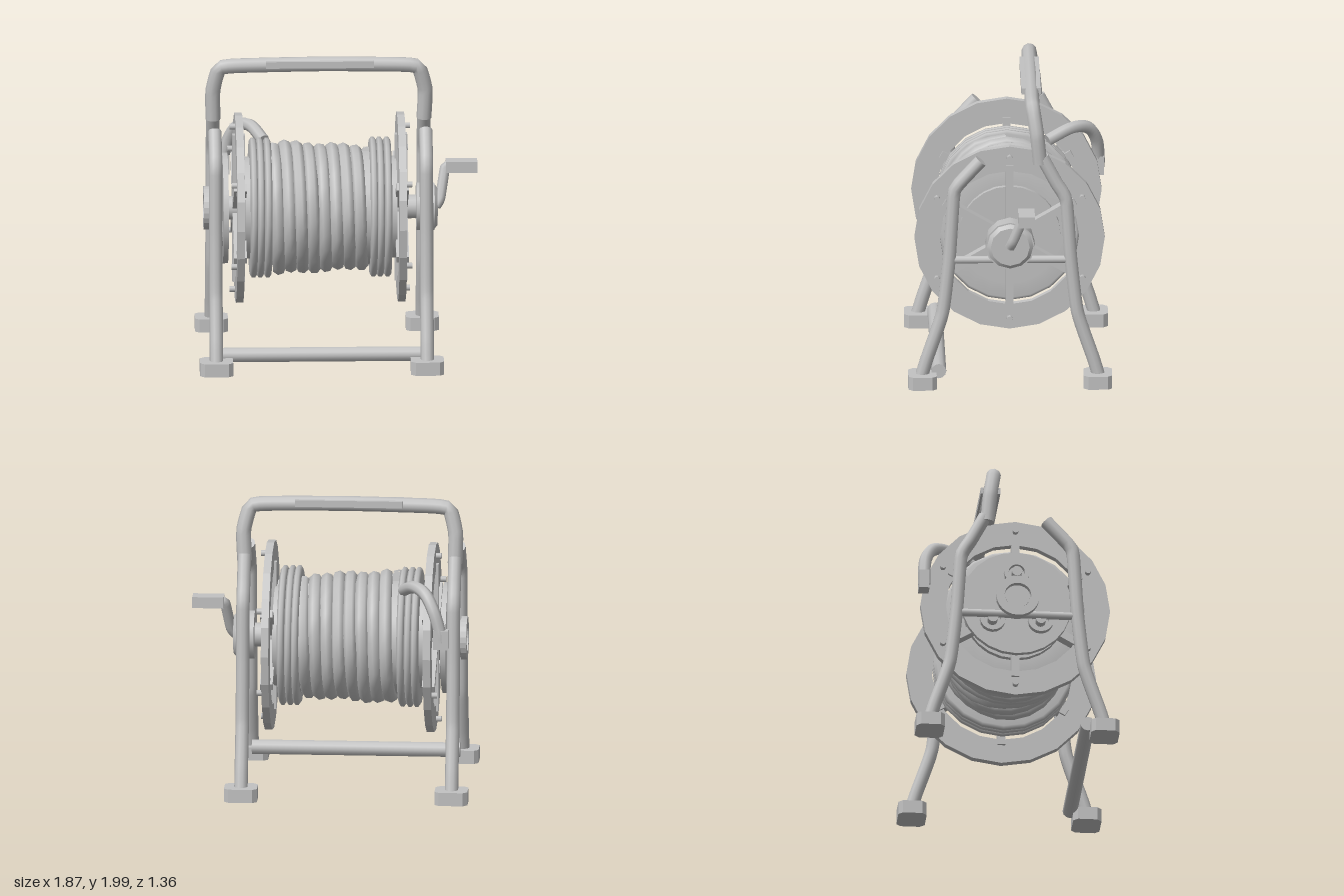
import * as THREE from 'three';

const steel = new THREE.MeshStandardMaterial({ color: 0xc2c2c2 });
steel.name = 'light grey metal';
const AXIS_Y = 1.0; // height of the reel axle

function add(parent, name, geometry, x = 0, y = 0, z = 0) {
  const mesh = new THREE.Mesh(geometry, steel);
  mesh.name = name;
  mesh.position.set(x, y, z);
  parent.add(mesh);
  return mesh;
}

// Cylinder lying along x from x0 to x1
function xCylinder(parent, name, x0, x1, r, sides = 20, y = 0, z = 0, r2 = r) {
  const g = new THREE.CylinderGeometry(r, r2, x1 - x0, sides).rotateZ(-Math.PI / 2);
  return add(parent, name, g, (x0 + x1) / 2, y, z);
}

// Flat ring around the x axis with real thickness
function xRing(parent, name, x0, x1, outer, inner, sides = 20, y = 0, z = 0) {
  const shape = new THREE.Shape().absarc(0, 0, outer, 0, Math.PI * 2, false);
  shape.holes.push(new THREE.Path().absarc(0, 0, inner, 0, Math.PI * 2, true));
  const g = new THREE.ExtrudeGeometry(shape, { depth: x1 - x0, bevelEnabled: false, curveSegments: sides });
  return add(parent, name, g.rotateY(Math.PI / 2), x0, y, z);
}

// Bent pipe with closed ends
function pipe(parent, name, points, r, segments = 30, sides = 10, tension = 0.25) {
  const group = new THREE.Group();
  group.name = name;
  const pts = points.map(p => new THREE.Vector3(...p));
  const curve = new THREE.CatmullRomCurve3(pts, false, 'catmullrom', tension);
  add(group, name + ' tube', new THREE.TubeGeometry(curve, segments, r, sides, false));
  for (const t of [0, 1]) {
    const cap = add(group, name + ' cap', new THREE.CircleGeometry(r, sides));
    const out = curve.getTangent(t).multiplyScalar(t ? 1 : -1);
    cap.position.copy(curve.getPoint(t));
    cap.quaternion.setFromUnitVectors(new THREE.Vector3(0, 0, 1), out);
  }
  parent.add(group);
  return group;
}

// Foot pad with clipped corners
function footGeometry() {
  const a = 0.11, b = 0.095, c = 0.03;
  const shape = new THREE.Shape([
    [-a + c, -b], [a - c, -b], [a, -b + c], [a, b - c],
    [a - c, b], [-a + c, b], [-a, b - c], [-a, -b + c],
  ].map(p => new THREE.Vector2(...p)));
  return new THREE.ExtrudeGeometry(shape, { depth: 0.09, bevelEnabled: false }).rotateX(-Math.PI / 2);
}

function buildFrame(group) {
  for (const x of [-0.83, 0.577]) {
    pipe(group, 'frontLeg', [[x, 0.08, 0.59], [x, 0.2, 0.555], [x, 0.52, 0.45], [x, 0.9, 0.405],
      [x, 1.35, 0.375], [x, 1.42, 0.34], [x, 1.58, 0.195]], 0.045);
    pipe(group, 'rearLeg', [[x, 0.08, -0.59], [x, 0.2, -0.555], [x, 0.52, -0.45], [x, 0.9, -0.405],
      [x, 1.3, -0.375], [x, 1.42, -0.31], [x, 1.6, -0.215]], 0.045);
    add(group, 'sideBrace', new THREE.CylinderGeometry(0.026, 0.026, 0.8, 10).rotateX(Math.PI / 2), x, 0.89, 0);
    for (const z of [-0.585, 0.585]) add(group, 'foot', footGeometry(), x, 0.01, z);
  }
  xCylinder(group, 'lowerCrossbar', -0.82, 0.57, 0.05, 12, 0.11, 0.475);

  // Carrying handle and its flat grip
  pipe(group, 'handle', [[-0.83, 1.56, -0.2], [-0.832, 1.76, -0.18], [-0.79, 1.92, -0.155],
    [-0.66, 1.94, -0.15], [-0.1, 1.948, -0.15], [0.43, 1.94, -0.15],
    [0.54, 1.92, -0.155], [0.585, 1.76, -0.18], [0.577, 1.56, -0.2]], 0.05, 48);
  add(group, 'grip', new THREE.BoxGeometry(0.72, 0.045, 0.13), -0.12, 1.957, -0.147);
}

function buildReel(reel) {
  xCylinder(reel, 'drum', -0.63, 0.385, 0.34, 24);
  xCylinder(reel, 'drumLining', -0.59, 0.34, 0.385, 24);
  xCylinder(reel, 'axle', -0.87, 0.58, 0.08, 16);

  // Hose wound in a helix, a little fuller toward the -x end
  const turns = 8, coil = [];
  for (let i = 0; i <= turns * 12; i++) {
    const t = i / (turns * 12), a = t * turns * Math.PI * 2;
    const r = 0.408 - 0.035 * t + 0.01 * Math.sin(i * 1.7);
    coil.push([-0.435 + 0.63 * t, r * Math.cos(a), r * Math.sin(a)]);
  }
  pipe(reel, 'woundHose', coil, 0.045, turns * 24, 7, 0.5);

  // Outer hose turns pressed against each flange
  for (const x of [-0.57, -0.525, -0.475, 0.23, 0.275, 0.325]) {
    const profile = [[0.34, -0.024], [0.448, -0.024], [0.468, -0.01],
      [0.468, 0.01], [0.448, 0.024], [0.34, 0.024]].map(p => new THREE.Vector2(...p));
    add(reel, 'outerHoseTurn', new THREE.LatheGeometry(profile, 20).rotateZ(-Math.PI / 2), x);
  }

  // Flanges with six spokes and six bolts each
  for (const [x, side] of [[-0.665, -1], [0.417, 1]]) {
    xRing(reel, 'flange', x - 0.025, x + 0.025, 0.635, 0.465, 10);
    for (let i = 0; i < 6; i++) {
      const arm = new THREE.Group();
      arm.name = 'spokeAndBolt';
      arm.rotation.x = i * Math.PI / 3;
      add(arm, 'spoke', new THREE.BoxGeometry(0.085, 0.43, 0.052), x, 0.29, 0);
      xCylinder(arm, 'bolt', Math.min(x, x + side * 0.062), Math.max(x, x + side * 0.062), 0.02, 8, 0.56);
      reel.add(arm);
    }
  }
}

function buildValveSide(reel) {
  // Round plate, centre hub and surrounding knobs on the -x side
  xCylinder(reel, 'endPlate', -0.775, -0.74, 0.37, 24);
  xRing(reel, 'hubRing', -0.9, -0.86, 0.145, 0.09, 12);
  xCylinder(reel, 'hub', -0.86, -0.77, 0.12, 20);
  for (const degrees of [90, 220, 320]) {
    const a = THREE.MathUtils.degToRad(degrees);
    const y = 0.21 * Math.sin(a), z = 0.21 * Math.cos(a);
    xRing(reel, 'knobRing', -0.815, -0.77, 0.085, 0.055, 8, y, z);
    xCylinder(reel, 'knob', -0.835, -0.77, 0.035, 12, y, z);
  }
}

function buildCrankSide(reel) {
  xCylinder(reel, 'crankHub', 0.52, 0.64, 0.165, 12);
  xCylinder(reel, 'crankHubFace', 0.64, 0.66, 0.13, 12, 0, 0, 0.155);
  pipe(reel, 'crankArm', [[0.65, 0, 0], [0.68, 0.05, -0.02], [0.715, 0.24, -0.095], [0.75, 0.255, -0.1]], 0.035, 16, 8);
  add(reel, 'crankGrip', new THREE.BoxGeometry(0.21, 0.075, 0.11), 0.825, 0.252, -0.105);
}

export function createModel() {
  const model = new THREE.Group();
  model.name = 'hoseReel';

  const frame = new THREE.Group();
  frame.name = 'frame';
  buildFrame(frame);

  const reel = new THREE.Group();
  reel.name = 'reel';
  reel.position.y = AXIS_Y;
  buildReel(reel);
  buildValveSide(reel);
  buildCrankSide(reel);

  // Loose hose end with its nozzle
  pipe(reel, 'hoseEnd', [[-0.49, 0.39, -0.27], [-0.57, 0.45, -0.43], [-0.65, 0.43, -0.54],
    [-0.71, 0.33, -0.6], [-0.75, 0.2, -0.615], [-0.76, 0.12, -0.615]], 0.042, 24, 8, 0.5);
  add(reel, 'nozzle', new THREE.BoxGeometry(0.1, 0.13, 0.07), -0.76, 0.14, -0.618);

  model.add(frame, reel);
  return model;
}
